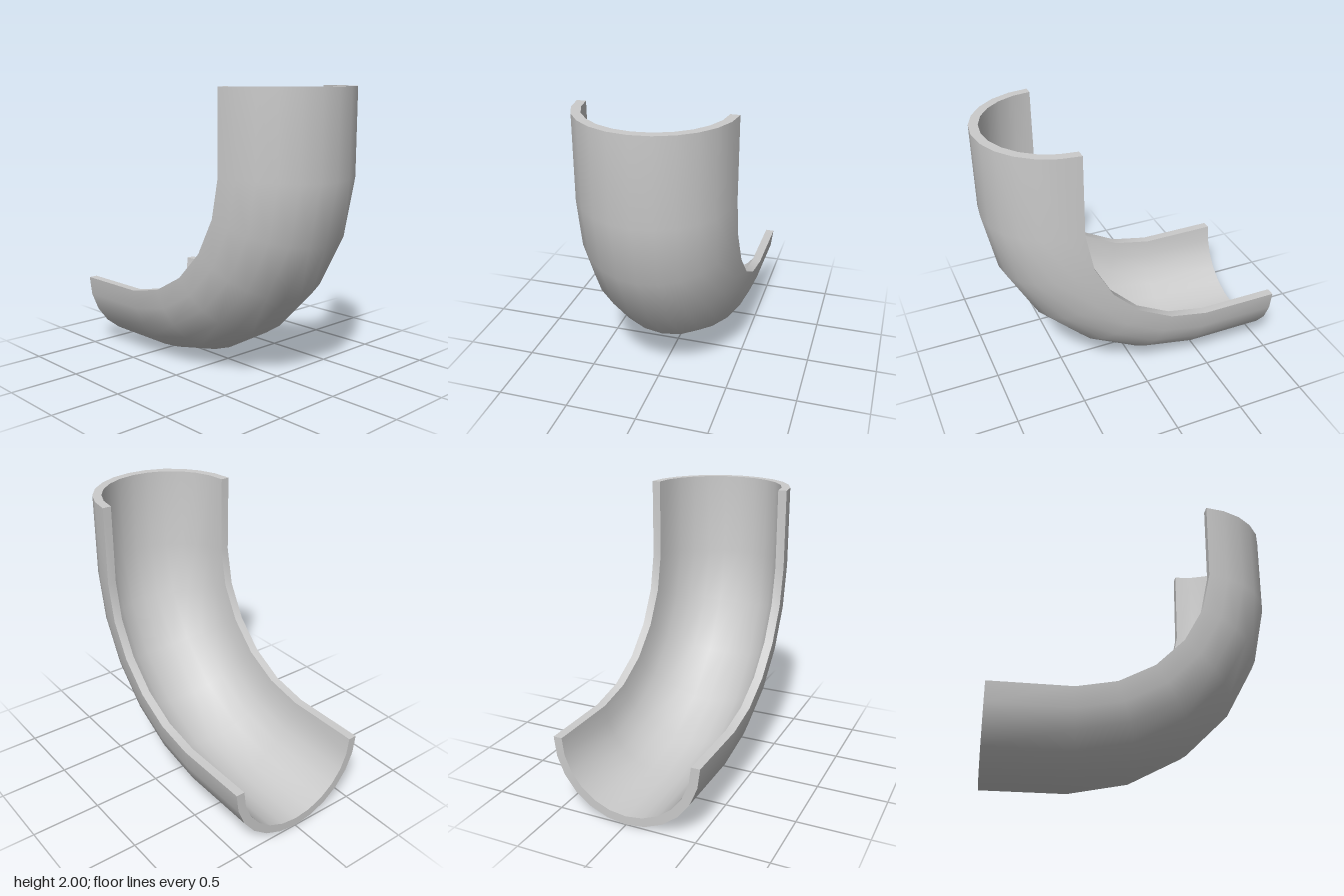
import * as THREE from 'three';

const OUTER = 0.53, INNER = 0.468, BEND = 0.965, CENTRE = OUTER + BEND;
const BEND_SECTIONS = 6, SIDES = 12;

// Sections along the elbow: straight top end, six bend sections, straight back end
const sections = [{ a: 0, top: true }];
for (let i = 0; i < BEND_SECTIONS; i++) {
  sections.push({ a: THREE.MathUtils.degToRad(3.3 + (83.4 * i) / (BEND_SECTIONS - 1)) });
}
sections.push({ a: Math.PI / 2, back: true });

// Point on a section at radius r; j runs around the half circle from left rim to right rim
function point(s, r, j) {
  const phi = (Math.PI * j) / SIDES;
  const d = BEND + r * Math.sin(phi);
  const y = s.top ? 2 : CENTRE - d * Math.sin(s.a);
  const z = s.back ? -1 : 1 - CENTRE + d * Math.cos(s.a);
  return new THREE.Vector3(r * Math.cos(phi), y, z);
}

const arc = (s, r) => Array.from({ length: SIDES + 1 }, (_, j) => point(s, r, j));

// Smooth skin over rows of points
function skin(rows, flip = false) {
  const n = rows[0].length, index = [];
  for (let i = 0; i < rows.length - 1; i++) {
    for (let j = 0; j < n - 1; j++) {
      const a = i * n + j, b = a + 1, c = a + n, d = c + 1;
      if (flip) index.push(a, c, b, b, c, d);
      else index.push(a, b, c, b, d, c);
    }
  }
  const geometry = new THREE.BufferGeometry().setFromPoints(rows.flat());
  geometry.setIndex(index);
  geometry.computeVertexNormals();
  return geometry;
}

export function createModel() {
  const group = new THREE.Group();
  group.name = 'halfPipeElbow';
  const material = new THREE.MeshStandardMaterial({ color: 0xcccccc });
  const add = (name, geometry) => {
    const mesh = new THREE.Mesh(geometry, material);
    mesh.name = name;
    group.add(mesh);
  };

  // Outer and inner walls
  add('outerWall', skin(sections.map((s) => arc(s, OUTER))));
  add('innerWall', skin(sections.map((s) => arc(s, INNER)), true));

  // Long rims joining the walls
  add('leftRim', skin(sections.map((s) => [point(s, INNER, 0), point(s, OUTER, 0)])));
  add('rightRim', skin(sections.map((s) => [point(s, OUTER, SIDES), point(s, INNER, SIDES)])));

  // Flat end faces
  const first = sections[0], last = sections[sections.length - 1];
  add('topEnd', skin([arc(first, INNER), arc(first, OUTER)]));
  add('backEnd', skin([arc(last, INNER), arc(last, OUTER)], true));
  return group;
}
